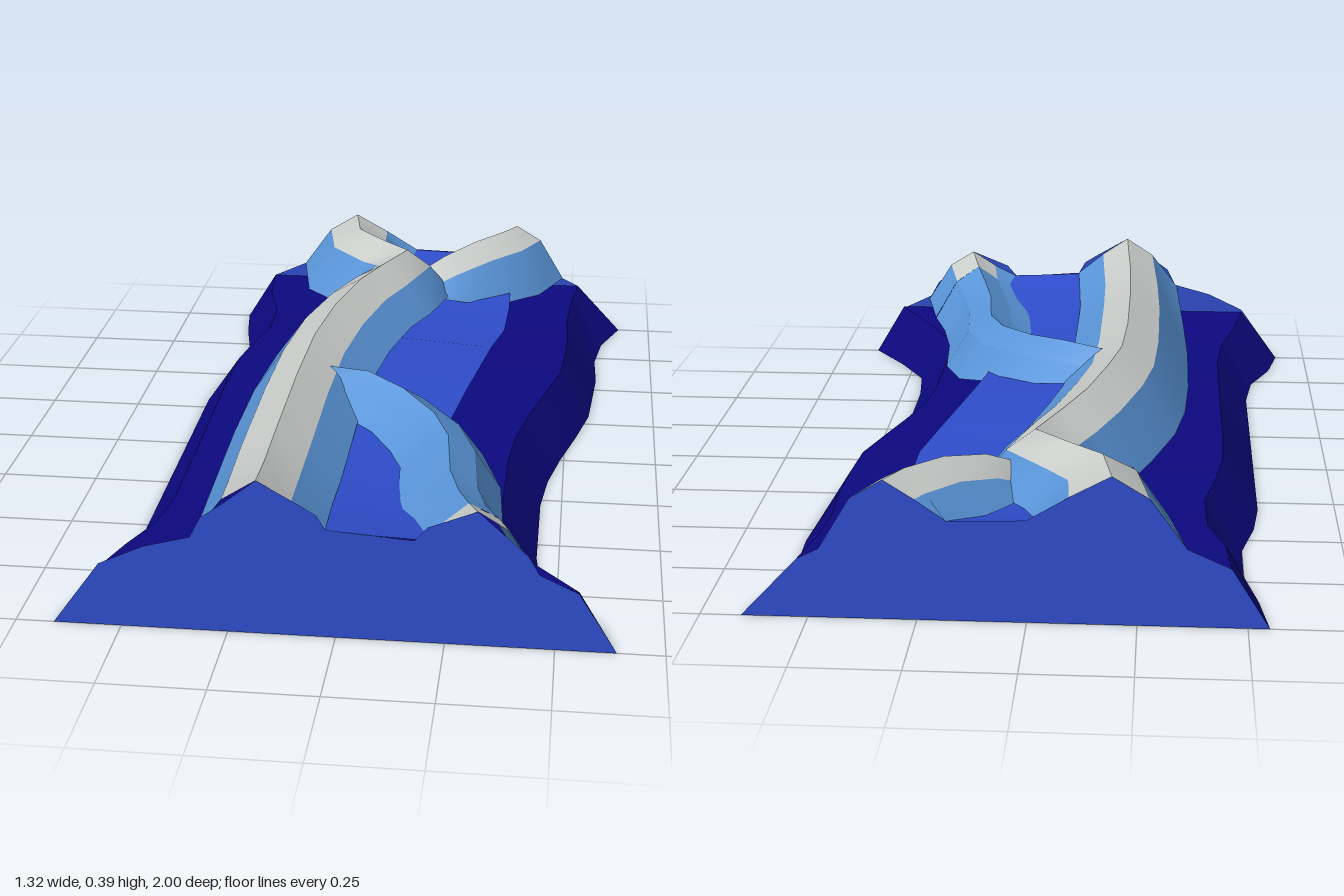
import * as THREE from 'three';

const mat = (name, color) =>
  Object.assign(new THREE.MeshStandardMaterial({ color, side: THREE.DoubleSide }), { name });

export function createModel() {
  const navy = mat('deep navy', 0x0c0880);
  const blue = mat('mid blue', 0x2f4dcc);
  const light = mat('light blue', 0x5a96da);
  const grey = mat('pale grey', 0xc9cdca);
  const model = new THREE.Group();
  model.name = 'ridgeTerrain';

  // Sheet between two edge lines that both run from back to front (a on the -x side)
  function strip(parent, name, a, b, material) {
    const pos = [], idx = [];
    a.forEach((p, i) => {
      pos.push(...p, ...b[i]);
      const k = i * 2;
      if (i) idx.push(k - 2, k, k + 1, k - 2, k + 1, k - 1);
    });
    const geo = new THREE.BufferGeometry();
    geo.setAttribute('position', new THREE.Float32BufferAttribute(pos, 3));
    geo.setIndex(idx);
    geo.computeVertexNormals();
    const mesh = new THREE.Mesh(geo, material);
    mesh.name = name;
    parent.add(mesh);
  }

  // Sea-floor body: z, left foot, left shelf, right shelf, right foot, shelf height
  const body = [
    [-1, -0.55, -0.46, 0.52, 0.655, 0.145],
    [-0.86, -0.53, -0.45, 0.5, 0.6, 0.138],
    [-0.72, -0.5, -0.41, 0.49, 0.58, 0.133],
    [-0.57, -0.5, -0.405, 0.495, 0.585, 0.134],
    [-0.43, -0.535, -0.435, 0.49, 0.575, 0.136],
    [-0.3, -0.55, -0.455, 0.48, 0.565, 0.137],
    [-0.15, -0.55, -0.46, 0.44, 0.53, 0.134],
    [0, -0.55, -0.46, 0.4, 0.49, 0.13],
    [0.14, -0.55, -0.46, 0.37, 0.46, 0.126],
    [0.28, -0.55, -0.46, 0.357, 0.445, 0.123],
    [0.57, -0.55, -0.46, 0.355, 0.445, 0.12],
    [0.72, -0.57, -0.475, 0.365, 0.46, 0.125],
    [0.86, -0.63, -0.515, 0.45, 0.54, 0.138],
    [1, -0.66, -0.545, 0.55, 0.64, 0.152],
  ];
  const floor = new THREE.Group();
  floor.name = 'seaFloor';
  model.add(floor);
  const edge = (col, top) => body.map((r) => [r[col], top ? r[5] : 0, r[0]]);
  strip(floor, 'leftBank', edge(1), edge(2, true), navy);
  strip(floor, 'shelf', edge(2, true), edge(3, true), navy);
  strip(floor, 'rightBank', edge(3, true), edge(4), navy);
  strip(floor, 'underside', edge(4), edge(1), navy);

  // Valley plate: z, left x, left y, right x, right y
  const plate = [
    [-1, -0.1, 0.25, 0.3, 0.24],
    [-0.85, -0.2, 0.22, 0.31, 0.2],
    [-0.65, -0.23, 0.2, 0.315, 0.195],
    [-0.45, -0.23, 0.205, 0.31, 0.2],
    [-0.3, -0.2, 0.24, 0.28, 0.205],
    [0, -0.15, 0.23, 0.23, 0.2],
    [0.2, -0.15, 0.22, 0.2, 0.195],
    [0.5, -0.15, 0.21, 0.2, 0.19],
    [0.75, -0.15, 0.22, 0.22, 0.21],
    [1, -0.12, 0.275, 0.26, 0.26],
  ];
  strip(model, 'valleyPlate', plate.map((r) => [r[1], r[2], r[0]]),
    plate.map((r) => [r[3], r[4], r[0]]), blue);

  // Ridge along a crest: x, z, crest y, left width, right width, left foot y, right foot y
  function ridge(name, rows, topMaterial, drop = 0.052) {
    const group = new THREE.Group();
    group.name = name;
    model.add(group);
    const lines = [[], [], [], [], []];
    rows.forEach(([x, z, y, lw, rw, ly, ry], i) => {
      const p = rows[Math.max(i - 1, 0)], n = rows[Math.min(i + 1, rows.length - 1)];
      const t = Math.abs(z) === 1
        ? new THREE.Vector2(0, 1)
        : new THREE.Vector2(n[0] - p[0], n[1] - p[1]).normalize();
      const at = (d, h) => [x + t.y * d, h, THREE.MathUtils.clamp(z - t.x * d, -1, 1)];
      lines[0].push(at(-lw, ly));
      lines[1].push(at(-lw * 0.5, y - drop));
      lines[2].push([x, y, z]);
      lines[3].push(at(rw * 0.5, y - drop));
      lines[4].push(at(rw, ry));
    });
    strip(group, 'leftSlope', lines[0], lines[1], light);
    strip(group, 'leftCrest', lines[1], lines[2], topMaterial);
    strip(group, 'rightCrest', lines[2], lines[3], topMaterial);
    strip(group, 'rightSlope', lines[3], lines[4], light);
  }

  ridge('mainRidge', [
    [-0.19, -1, 0.36, 0.17, 0.19, 0.19, 0.25],
    [-0.165, -0.86, 0.36, 0.17, 0.17, 0.18, 0.23],
    [-0.08, -0.77, 0.355, 0.16, 0.13, 0.18, 0.22],
    [0, -0.69, 0.355, 0.18, 0.14, 0.185, 0.22],
    [-0.06, -0.54, 0.358, 0.17, 0.16, 0.185, 0.23],
    [-0.11, -0.4, 0.36, 0.17, 0.16, 0.185, 0.235],
    [-0.155, -0.2, 0.357, 0.18, 0.16, 0.18, 0.235],
    [-0.185, 0, 0.345, 0.175, 0.16, 0.165, 0.225],
    [-0.195, 0.25, 0.335, 0.175, 0.16, 0.15, 0.215],
    [-0.195, 0.6, 0.333, 0.175, 0.16, 0.135, 0.21],
    [-0.19, 0.8, 0.342, 0.17, 0.155, 0.15, 0.225],
    [-0.175, 1, 0.39, 0.16, 0.155, 0.235, 0.275],
  ], grey);

  ridge('backBranch', [
    [0.32, -1, 0.34, 0.14, 0.15, 0.245, 0.17],
    [0.28, -0.93, 0.342, 0.13, 0.15, 0.23, 0.17],
    [0.2, -0.84, 0.338, 0.12, 0.14, 0.22, 0.175],
    [0.11, -0.76, 0.315, 0.1, 0.12, 0.22, 0.2],
    [0.05, -0.72, 0.285, 0.06, 0.1, 0.22, 0.22],
  ], grey, 0.045);

  const spur = [
    [-0.14, 0.11, 0.3, 0.03, 0.1, 0.25, 0.23],
    [-0.02, 0.16, 0.31, 0.1, 0.12, 0.215, 0.215],
    [0.08, 0.24, 0.3, 0.11, 0.13, 0.205, 0.185],
    [0.17, 0.36, 0.288, 0.12, 0.14, 0.2, 0.145],
    [0.215, 0.48, 0.283, 0.12, 0.135, 0.2, 0.13],
    [0.235, 0.68, 0.284, 0.12, 0.13, 0.21, 0.128],
    [0.265, 0.81, 0.295, 0.12, 0.13, 0.22, 0.14],
    [0.295, 0.91, 0.315, 0.12, 0.14, 0.24, 0.155],
    [0.32, 1, 0.34, 0.14, 0.145, 0.26, 0.18],
  ];
  ridge('frontBranch', spur.slice(0, 8), light, 0.045);
  ridge('frontBranchEnd', spur.slice(7), grey, 0.045);

  // Cut faces at both ends
  function endWall(name, z, pts) {
    const shape = new THREE.Shape(pts.map(([x, y]) => new THREE.Vector2(x * Math.sign(z), y)));
    const mesh = new THREE.Mesh(new THREE.ShapeGeometry(shape), blue);
    mesh.name = name;
    mesh.position.z = z;
    if (z < 0) mesh.rotation.y = Math.PI;
    model.add(mesh);
  }
  endWall('frontWall', 1, [
    [-0.66, 0], [-0.545, 0.16], [-0.44, 0.21], [-0.33, 0.24], [-0.305, 0.29], [-0.25, 0.33],
    [-0.175, 0.39], [-0.08, 0.335], [-0.04, 0.31], [-0.02, 0.275], [0.18, 0.26], [0.21, 0.295],
    [0.32, 0.34], [0.435, 0.235], [0.46, 0.19], [0.55, 0.147], [0.64, 0],
  ]);
  endWall('backWall', -1, [
    [-0.55, 0], [-0.46, 0.145], [-0.36, 0.19], [-0.275, 0.308], [-0.19, 0.36], [-0.095, 0.308],
    [0, 0.25], [0.18, 0.245], [0.25, 0.295], [0.32, 0.34], [0.395, 0.295], [0.47, 0.17],
    [0.52, 0.145], [0.655, 0],
  ]);
  return model;
}
